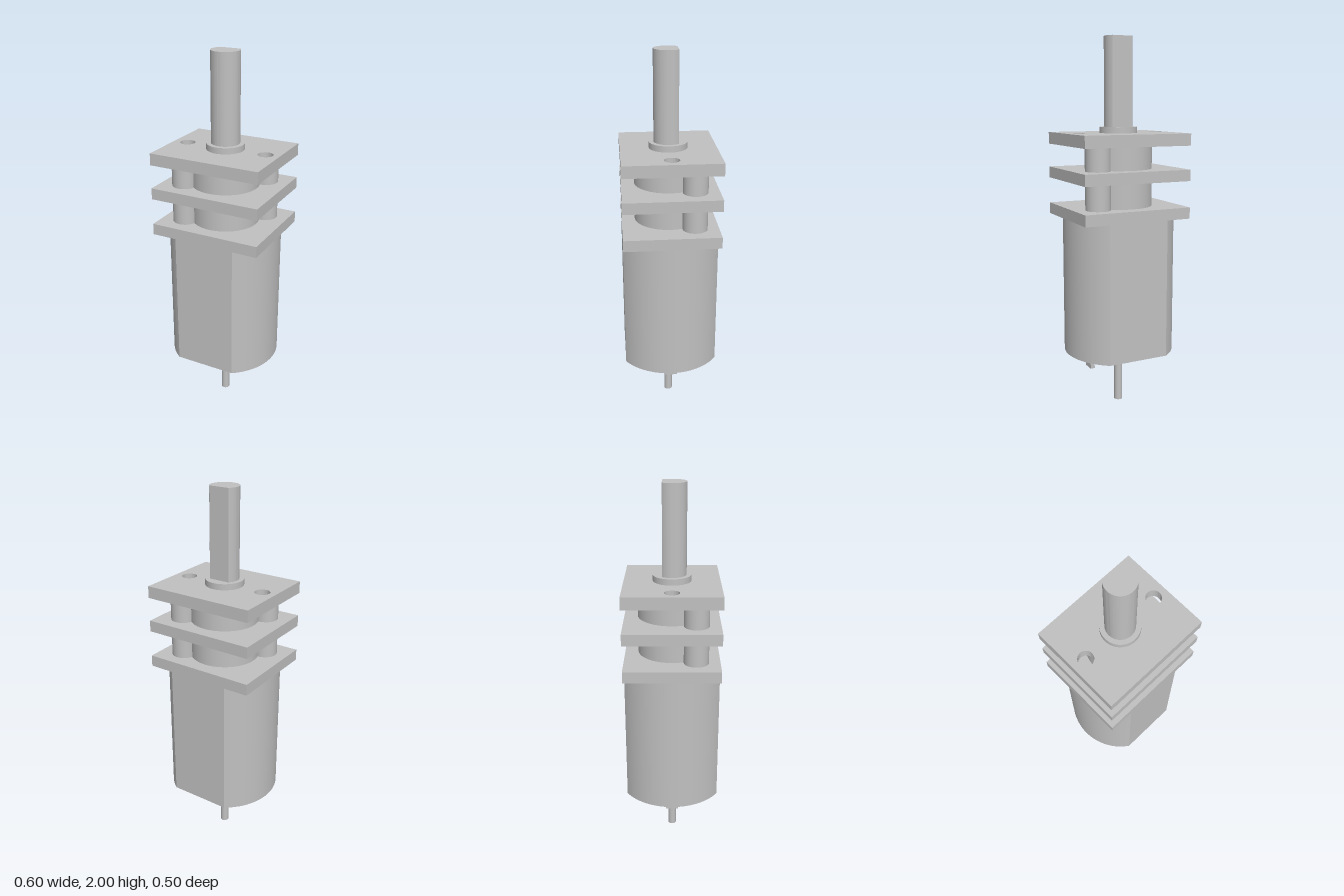
import * as THREE from 'three';
import { toCreasedNormals } from 'three/addons/utils/BufferGeometryUtils.js';

export function createModel() {
  const model = new THREE.Group();
  model.name = 'gearMotor';
  const metal = new THREE.MeshStandardMaterial({ color: 0xc0c0c0 });
  metal.name = 'grey metal';

  function add(name, geometry, x = 0, y = 0, z = 0) {
    const mesh = new THREE.Mesh(geometry, metal);
    mesh.name = name;
    mesh.position.set(x, y, z);
    model.add(mesh);
  }
  // Upright cylinder between two heights
  function rod(name, r, y0, y1, x = 0, z = 0) {
    add(name, new THREE.CylinderGeometry(r, r, y1 - y0, 64), x, (y0 + y1) / 2, z);
  }
  // Box between two heights
  function block(name, w, d, y0, y1, x = 0) {
    add(name, new THREE.BoxGeometry(w, y1 - y0, d), x, (y0 + y1) / 2, 0);
  }
  // Upright prism from a plan shape, where shape y becomes -z
  function prism(name, shape, y0, y1) {
    const g = new THREE.ExtrudeGeometry(shape, { depth: y1 - y0, bevelEnabled: false, curveSegments: 48 });
    g.rotateX(-Math.PI / 2);
    add(name, toCreasedNormals(g, 0.4), 0, y0, 0);
  }

  // Motor can: round sides with flat front and back
  const a = Math.asin(0.25 / 0.3);
  const can = new THREE.Shape();
  can.absarc(0, 0, 0.3, -a, a, false);
  can.absarc(0, 0, 0.3, Math.PI - a, Math.PI + a, false);
  can.closePath();
  prism('motorCan', can, 0.312, 1.055);

  // Rear boss, rear shaft and terminals
  rod('rearBoss', 0.125, 0.255, 0.312);
  rod('rearShaft', 0.0225, 0, 0.255);
  for (const s of [-1, 1]) block('terminal', 0.024, 0.068, 0.22, 0.312, s * 0.172);

  // Gearbox plates, the top one with two mounting holes
  block('lowerPlate', 0.6, 0.5, 1.055, 1.115);
  block('middlePlate', 0.6, 0.5, 1.255, 1.315);
  const plate = new THREE.Shape();
  plate.moveTo(-0.3, -0.25).lineTo(0.3, -0.25).lineTo(0.3, 0.25).lineTo(-0.3, 0.25).closePath();
  for (const s of [-1, 1]) {
    const hole = new THREE.Path();
    hole.absarc(s * 0.225, 0, 0.04, 0, Math.PI * 2, true);
    plate.holes.push(hole);
  }
  prism('topPlate', plate, 1.44, 1.503);

  // Gears and diagonal spacer pillars between the plates
  for (const [y0, y1] of [[1.115, 1.255], [1.315, 1.44]]) {
    rod('gear', 0.18, y0, y1);
    for (const s of [-1, 1]) rod('pillar', 0.065, y0, y1, s * 0.175, -s * 0.125);
  }

  // Output collar and D-shaped shaft, flat facing the back
  rod('collar', 0.1, 1.503, 1.535);
  const b = Math.asin(0.05 / 0.075);
  const dShape = new THREE.Shape();
  dShape.absarc(0, 0, 0.075, Math.PI - b, Math.PI * 2 + b, false);
  dShape.closePath();
  prism('outputShaft', dShape, 1.535, 2);

  return model;
}
